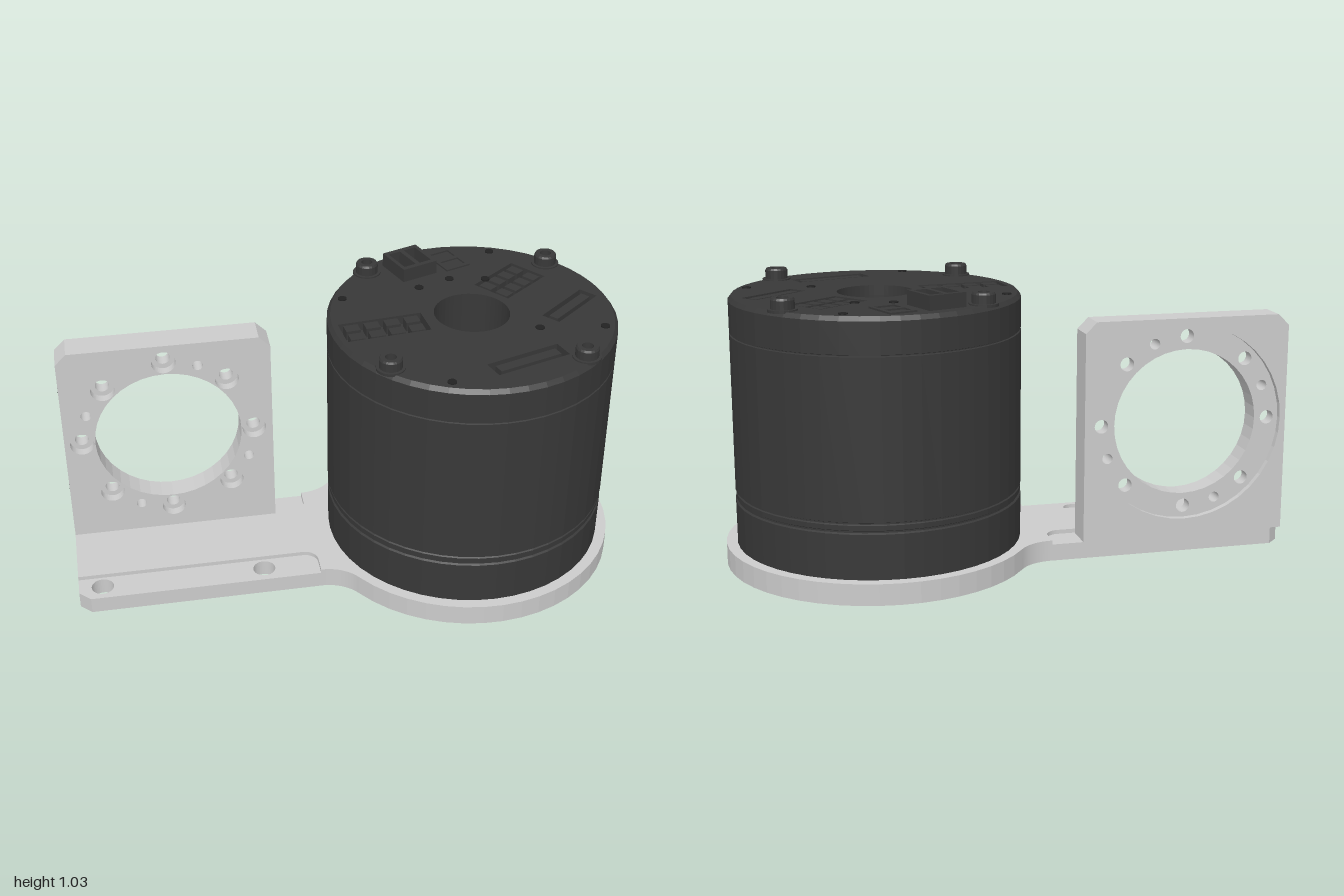
import * as THREE from 'three';

const grey = new THREE.MeshStandardMaterial({ color: 0xcccccc, flatShading: true, side: THREE.DoubleSide });
const dark = new THREE.MeshStandardMaterial({ color: 0x383838, flatShading: true, side: THREE.DoubleSide });
const black = new THREE.MeshStandardMaterial({ color: 0x222222, flatShading: true });

const CX = 0.45;                       // motor axis
const HALF = 0.2375;                   // half width of the bracket arm
const UP = { x: -0.625, y: 0.505 };    // centre of the upright's opening
const deg = Math.PI / 180;

const v = (a) => a.map(([x, y]) => new THREE.Vector2(x, y));
const circle = (x, y, r) => new THREE.Path().absarc(x, y, r, 0, Math.PI * 2, true);
const ring = (n, cx, cy, r, start, fn) => {
  for (let i = 0; i < n; i++) {
    const a = start * deg + (i * 2 * Math.PI) / n;
    fn(cx + r * Math.cos(a), cy + r * Math.sin(a));
  }
};
// Rotated rectangle as a path
const rect = (x, y, w, h, rot) => {
  const c = Math.cos(rot), s = Math.sin(rot);
  return v([[-1, -1], [-1, 1], [1, 1], [1, -1]].map(([i, j]) => {
    const a = i * w / 2, b = j * h / 2;
    return [x + a * c - b * s, y + a * s + b * c];
  }));
};

export function createModel() {
  const model = new THREE.Group();
  const add = (name, geo, mat, x = 0, y = 0, z = 0, ry = 0, parent = model) => {
    const m = new THREE.Mesh(geo, mat);
    m.name = name;
    m.position.set(x, y, z);
    m.rotation.y = ry;
    parent.add(m);
    return m;
  };
  const extrude = (shape, depth, seg = 20) =>
    new THREE.ExtrudeGeometry(shape, { depth, bevelEnabled: false, curveSegments: seg });
  // Extrusion lying flat: shape y becomes -z
  const flat = (shape, depth, seg) => extrude(shape, depth, seg).rotateX(-Math.PI / 2);
  const lathe = (pts, seg = 48) => new THREE.LatheGeometry(v(pts), seg);

  // Base plate: arm blending into the round flange, lower and upper layer
  const R = 0.15, flangeR = 0.545;
  const fy = HALF + R, fx = CX - Math.sqrt((flangeR + R) ** 2 - fy ** 2);
  const a = Math.atan2(fy, fx - CX);
  const plate = (recessed, boltR) => {
    const s = new THREE.Shape();
    if (recessed) {
      s.moveTo(-1, 0.125);
      s.lineTo(-1, -0.125);
      s.lineTo(-0.18, -0.125);
      s.absarc(-0.18, -0.175, 0.05, Math.PI / 2, 0, true);
      s.lineTo(-0.13, -HALF);
    } else {
      s.moveTo(-0.96, HALF);
      s.lineTo(-1, HALF - 0.04);
      s.lineTo(-1, -HALF + 0.04);
      s.lineTo(-0.96, -HALF);
    }
    s.absarc(fx, -fy, R, Math.PI / 2, Math.PI - a, true);
    s.absarc(CX, 0, flangeR, -a, a, false);
    s.absarc(fx, fy, R, a - Math.PI, -Math.PI / 2, true);
    if (recessed) {
      s.lineTo(-0.13, HALF);
      s.lineTo(-0.13, 0.175);
      s.absarc(-0.18, 0.175, 0.05, 0, -Math.PI / 2, true);
    } else {
      for (const x of [-0.915, -0.33]) for (const y of [-0.175, 0.175]) s.holes.push(circle(x, y, 0.04));
    }
    s.holes.push(circle(CX, 0, 0.385));
    ring(8, CX, 0, 0.465, -5, (x, y) => s.holes.push(circle(x, y, boltR)));
    return s;
  };
  add('basePlate', flat(plate(false, 0.06), 0.06), grey, 0, 0.03);
  add('basePlateTop', flat(plate(true, 0.03), 0.015), grey, 0, 0.09);
  // Countersinks below the flange
  const sink = lathe([[0.06, 0.03], [0.032, 0.06], [0.03, 0.09]], 20);
  ring(8, CX, 0, 0.465, 5, (x, z) => add('countersink', sink, grey, x, 0, z));

  // Upright in three layers: counterbored front, core, recessed back
  const upright = (bigR, boltR) => {
    const s = new THREE.Shape(v([[-1, 0.09], [-0.245, 0.09], [-0.245, 0.845], [-0.285, 0.885], [-0.96, 0.885], [-1, 0.845]]));
    s.holes.push(circle(UP.x, UP.y, bigR));
    if (boltR) {
      ring(8, UP.x, UP.y, 0.312, 0, (x, y) => s.holes.push(circle(x, y, boltR)));
      ring(4, UP.x, UP.y, 0.312, 67.5, (x, y) => s.holes.push(circle(x, y, 0.019)));
    }
    return s;
  };
  add('uprightFront', extrude(upright(0.265, 0.043), 0.035), grey, 0, 0, -0.165);
  add('uprightCore', extrude(upright(0.265, 0.025), 0.05), grey, 0, 0, -0.215);
  add('uprightBack', extrude(upright(0.355, 0), HALF - 0.215), grey, 0, 0, -HALF);
  for (const y of [0.3, 0.71])
    add('sideHole', new THREE.CylinderGeometry(0.018, 0.018, 0.004, 16).rotateZ(Math.PI / 2), black, -1, y, -0.185);

  // Motor housing, with a seam, a groove and a through bore
  add('motorHousing', lathe([
    [0.133, 0.1], [0.506, 0.1], [0.507, 0.262], [0.5, 0.266], [0.5, 0.272], [0.505, 0.275], [0.505, 0.292],
    [0.5, 0.295], [0.5, 0.3], [0.507, 0.303], [0.507, 0.854], [0.502, 0.856], [0.502, 0.859], [0.507, 0.861],
    [0.507, 0.97], [0.495, 0.985], [0.49, 0.985], [0.49, 0.95], [0.133, 0.95], [0.133, 0.1],
  ]), dark, CX);

  // Top cover with pockets
  const pockets = [ // x, y (= -z), width, height, rotation, is pin socket
    [0.13, -0.045, 0.3, 0.12, 6 * deg, true],
    [0.64, 0.2, 0.22, 0.15, 38 * deg, true],
    [0.8, -0.013, 0.24, 0.07, 40 * deg, false],
    [0.56, -0.335, 0.28, 0.075, 18 * deg, false],
  ];
  const cover = new THREE.Shape().absarc(CX, 0, 0.492, 0, Math.PI * 2, false);
  cover.holes.push(circle(CX, 0, 0.133));
  for (const [x, y, w, h, r] of pockets) cover.holes.push(new THREE.Path(rect(x, y, w, h, r)));
  add('topCover', flat(cover, 0.035, 24), dark, 0, 0.95);
  for (const [x, y, w, h, r, pins] of pockets) {
    const g = new THREE.Group();
    g.name = pins ? 'pinSocket' : 'slotSocket';
    g.position.set(x, 0.965, -y);
    g.rotation.y = r;
    model.add(g);
    if (pins) {
      const pin = new THREE.BoxGeometry(w * 0.17, 0.036, h * 0.34);
      for (let i = 0; i < 4; i++) for (const j of [-1, 1])
        add('pin', pin, dark, (i - 1.5) * w * 0.24, 0, j * h * 0.24, 0, g);
    } else {
      add('slotBar', new THREE.BoxGeometry(w * 0.85, 0.036, h * 0.5), dark, 0, 0, 0, 0, g);
    }
  }

  // Two-cell connectors: a tall one and a flush one
  const connector = (name, x, z, w, d, h, turned) => {
    const s = new THREE.Shape(rect(0, 0, w, d, 0).reverse());
    for (const k of [-1, 1])
      s.holes.push(new THREE.Path(turned ? rect(0, k * d * 0.23, w * 0.75, d * 0.34, 0) : rect(k * w * 0.23, 0, w * 0.34, d * 0.75, 0)));
    add(name, flat(s, h), dark, x, 0.985, z, 20 * deg);
  };
  connector('tallConnector', 0.302, -0.347, 0.14, 0.145, 0.05, false);
  connector('lowConnector', 0.455, -0.39, 0.1, 0.145, 0.006, true);

  // Corner posts and small cover screws
  const post = lathe([[0.05, 0.98], [0.05, 0.99], [0.04, 0.99], [0.04, 1.02], [0.036, 1.027], [0.02, 1.027], [0.02, 1.0], [0, 1.0]], 20);
  ring(4, CX, 0, 0.466, 49, (x, z) => add('post', post, dark, x, 0, z));
  const screw = new THREE.CylinderGeometry(0.016, 0.016, 0.006, 12);
  for (const t of [22, 112, 202, 292]) ring(1, CX, 0, 0.462, t, (x, z) => add('coverScrew', screw, black, x, 0.986, z));
  for (const t of [-125, -95, -65, 35]) ring(1, CX, 0, 0.25, t, (x, z) => add('coverPin', screw, black, x, 0.986, z));

  // Output rotor below the flange
  add('rotor', lathe([
    [0.133, 0.11], [0.133, 0.006], [0.15, 0.004], [0.16, 0.012], [0.325, 0.012], [0.328, 0],
    [0.345, 0], [0.351, 0.006], [0.351, 0.11],
  ]), dark, CX);
  const bolt = new THREE.CylinderGeometry(0.022, 0.022, 0.012, 12);
  ring(12, CX, 0, 0.285, 15, (x, z) => add('rotorBolt', bolt, black, x, 0.01, z));
  for (const t of [45, 225])
    ring(1, CX, 0, 0.29, t, (x, z) => add('rotorTab', new THREE.BoxGeometry(0.07, 0.02, 0.07), dark, x, 0.012, z, -t * deg));

  return model;
}
